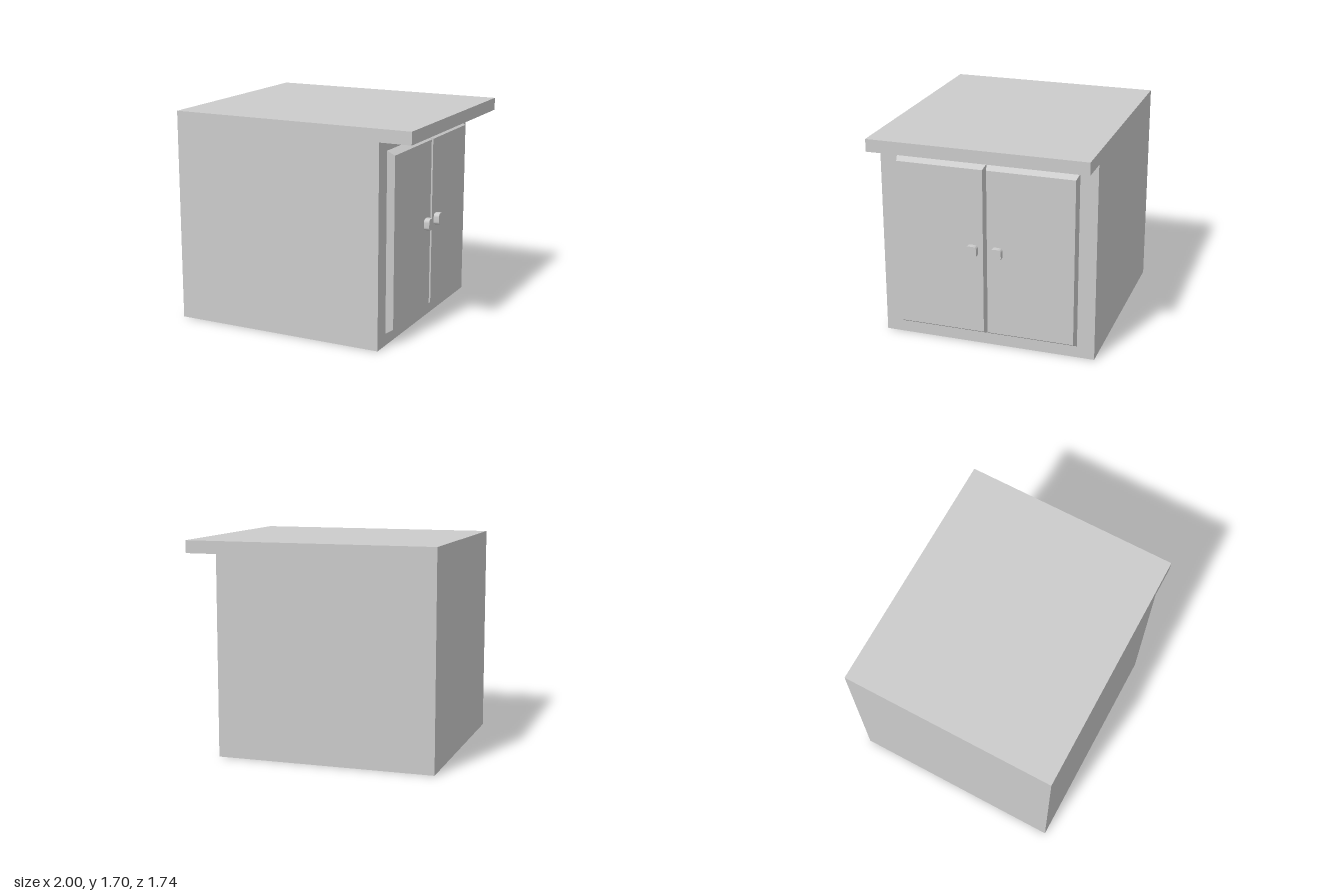
import * as THREE from 'three';
import { toCreasedNormals } from 'three/addons/utils/BufferGeometryUtils.js';

const material = new THREE.MeshStandardMaterial({ color: 0xcccccc });

function addMesh(parent, name, geometry) {
  const mesh = new THREE.Mesh(geometry, material);
  mesh.name = name;
  parent.add(mesh);
  return mesh;
}

// Cabinet and overhanging worktop share one side profile, extruded across the width
function cabinetGeometry() {
  const profile = new THREE.Shape([
    [-1, 0], [0.745, 0], [0.745, 1.6], [1, 1.6], [1, 1.7], [-1, 1.7],
  ].map(([x, y]) => new THREE.Vector2(x, y)));
  const geometry = new THREE.ExtrudeGeometry(profile, { depth: 1.74, bevelEnabled: false });
  return geometry.translate(0, 0, -0.87);
}

// Door panel: a box whose +x face is drawn in to give sloping edges
function doorGeometry(depth, height, width, insetY, insetZ) {
  const geometry = new THREE.BoxGeometry(depth, height, width);
  const p = geometry.attributes.position;
  for (let i = 0; i < p.count; i++) {
    if (p.getX(i) > 0) {
      p.setY(i, p.getY(i) - Math.sign(p.getY(i)) * insetY);
      p.setZ(i, p.getZ(i) - Math.sign(p.getZ(i)) * insetZ);
    }
  }
  geometry.computeVertexNormals();
  return geometry;
}

// Knob: a short rounded-square peg pointing along +x
function knobGeometry(w, h, r, depth) {
  const s = new THREE.Shape();
  s.absarc(w - r, h - r, r, 0, Math.PI / 2);
  s.absarc(r - w, h - r, r, Math.PI / 2, Math.PI);
  s.absarc(r - w, r - h, r, Math.PI, Math.PI * 1.5);
  s.absarc(w - r, r - h, r, Math.PI * 1.5, Math.PI * 2);
  const geometry = new THREE.ExtrudeGeometry(s, { depth, bevelEnabled: false, curveSegments: 5 });
  return toCreasedNormals(geometry.rotateY(Math.PI / 2), 0.8);
}

export function createModel() {
  const model = new THREE.Group();
  model.name = 'cabinet';
  addMesh(model, 'cabinetBody', cabinetGeometry());

  // Pair of doors, each with a knob near the middle
  for (const [side, label] of [[1, 'left'], [-1, 'right']]) {
    const door = new THREE.Group();
    door.name = `${label}DoorAssembly`;
    addMesh(door, `${label}Door`, doorGeometry(0.057, 1.42, 0.73, 0.035, 0.016))
      .position.set(0.7735, 0.805, side * 0.365);
    addMesh(door, `${label}Knob`, knobGeometry(0.044, 0.047, 0.028, 0.046))
      .position.set(0.801, 0.818, side * 0.1);
    model.add(door);
  }
  return model;
}
